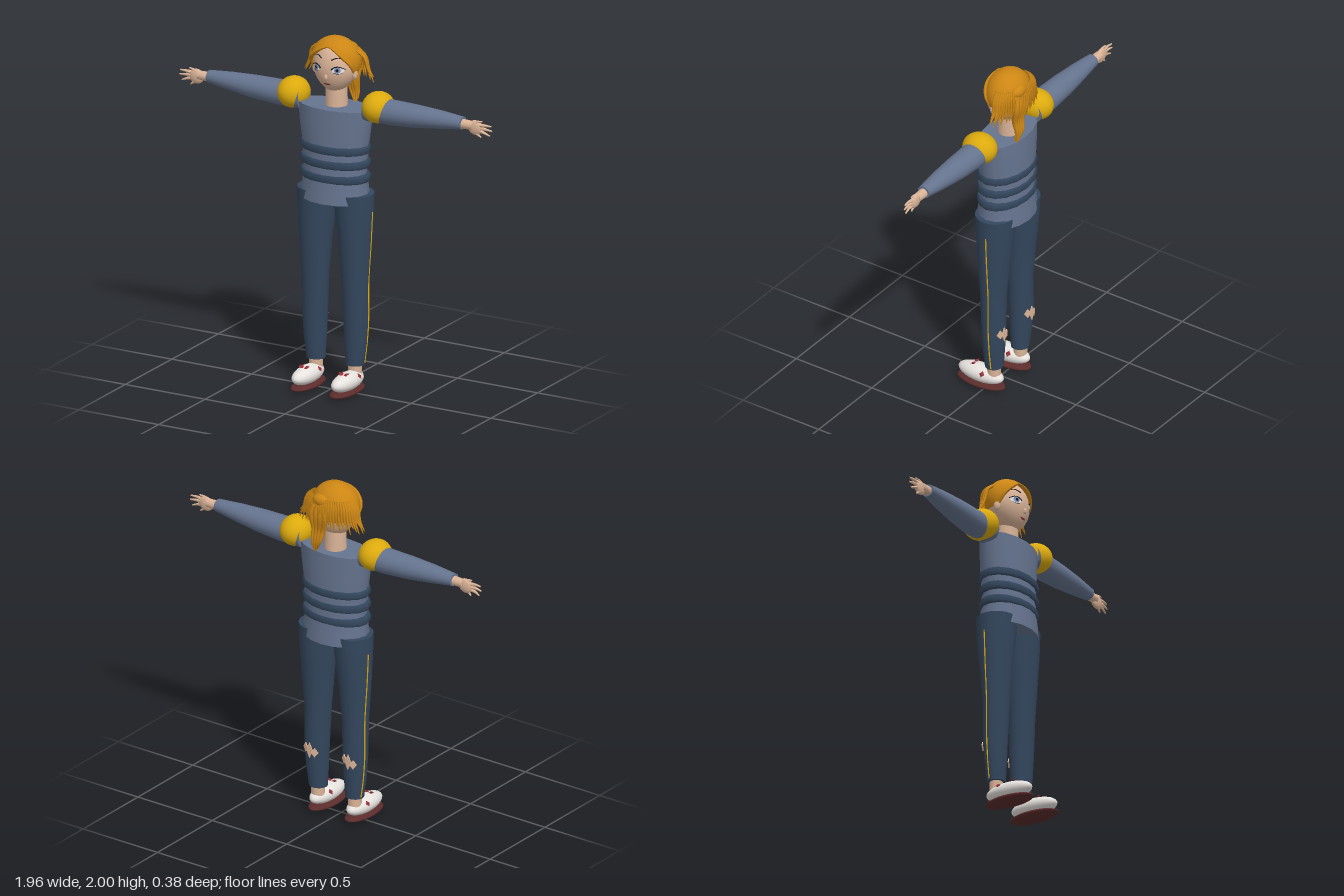
import * as THREE from 'three';

const mat = (name, color, side = THREE.FrontSide) => {
  const m = new THREE.MeshStandardMaterial({ color, side });
  m.name = name;
  return m;
};

// Stack of ellipses [y, rx, rz, cx, cz] from bottom to top, capped at both ends
function loft(sections, n = 24) {
  const pos = [], idx = [];
  const ring = ([y, rx, rz, cx = 0, cz = 0]) => {
    for (let j = 0; j < n; j++) {
      const a = (j / n) * Math.PI * 2;
      pos.push(cx + rx * Math.cos(a), y, cz + rz * Math.sin(a));
    }
  };
  sections.forEach(ring);
  for (let i = 0; i < sections.length - 1; i++) for (let j = 0; j < n; j++) {
    const a = i * n + j, b = i * n + (j + 1) % n;
    idx.push(a, a + n, b, b, a + n, b + n);
  }
  [sections[0], sections[sections.length - 1]].forEach((s, top) => {
    const base = pos.length / 3;
    ring(s);
    pos.push(s[3] || 0, s[0], s[4] || 0);
    for (let j = 0; j < n; j++) {
      const a = base + j, b = base + (j + 1) % n;
      top ? idx.push(base + n, b, a) : idx.push(base + n, a, b);
    }
  });
  const g = new THREE.BufferGeometry();
  g.setAttribute('position', new THREE.Float32BufferAttribute(pos, 3));
  g.setIndex(idx);
  g.computeVertexNormals();
  return g;
}

// Tube along points whose radius goes from r0 to r1 with an optional swelling
function strand(points, r0, r1, bulge = 0, segs = 10, sides = 7) {
  const curve = new THREE.CatmullRomCurve3(points.map(p => new THREE.Vector3(...p)));
  const g = new THREE.TubeGeometry(curve, segs, 1, sides);
  const p = g.attributes.position, v = new THREE.Vector3();
  for (let i = 0; i < p.count; i++) {
    const t = Math.floor(i / (sides + 1)) / segs;
    const c = curve.getPointAt(t);
    const r = r0 + (r1 - r0) * t + bulge * Math.sin(Math.PI * t);
    v.fromBufferAttribute(p, i).sub(c).multiplyScalar(r).add(c);
    p.setXYZ(i, v.x, v.y, v.z);
  }
  g.computeVertexNormals();
  return g;
}

const ball = (rx, ry, rz) => new THREE.SphereGeometry(1, 28, 20).scale(rx, ry, rz);

// Front surface of the face
const HEAD = { y: 1.835, z: -0.045, rx: 0.125, ry: 0.147, rz: 0.108 };
const faceZ = (x, y) => HEAD.z + HEAD.rz * Math.sqrt(Math.max(0, 1 - (x / HEAD.rx) ** 2 - ((y - HEAD.y) / HEAD.ry) ** 2));

function facePlate(x, y, rx, ry, lift) {
  const g = new THREE.CircleGeometry(1, 24).scale(rx, ry, 1).translate(x, y, 0);
  const p = g.attributes.position;
  for (let i = 0; i < p.count; i++) p.setZ(i, faceZ(p.getX(i), p.getY(i)) + lift);
  g.computeVertexNormals();
  return g;
}

export function createModel() {
  const root = new THREE.Group();
  const skin = mat('skin', 0xdbb498), hair = mat('hair', 0xcc8614, THREE.DoubleSide);
  const gold = mat('gold', 0xdcaa0e), shirt = mat('shirt blue', 0x66748f), navy = mat('navy', 0x34475e);
  const white = mat('white', 0xe6e2de), sole = mat('sole brown', 0x5c2c2c), red = mat('red', 0x96303a);
  const black = mat('black', 0x18181c), iris = mat('iris blue', 0x7f92bd);
  const add = (name, geo, material, x = 0, y = 0, z = 0) => {
    const m = new THREE.Mesh(geo, material);
    m.name = name;
    m.position.set(x, y, z);
    root.add(m);
    return m;
  };

  // Torso and the three bands around it
  add('torso', loft([
    [1.08, 0.2, 0.145, 0, -0.045], [1.13, 0.197, 0.142, 0, -0.045], [1.25, 0.183, 0.128, 0, -0.045],
    [1.4, 0.197, 0.127, 0, -0.047], [1.52, 0.216, 0.123, 0, -0.047], [1.61, 0.224, 0.117, 0, -0.047],
  ], 16), shirt);
  for (const y of [1.383, 1.302, 1.22]) add('band', loft([
    [y - 0.022, 0.2, 0.131], [y - 0.012, 0.208, 0.138], [y + 0.012, 0.208, 0.138], [y + 0.022, 0.2, 0.131],
  ], 16), navy, 0, 0, -0.044);

  // Neck and head with a narrowed jaw
  add('neck', new THREE.CylinderGeometry(0.06, 0.062, 0.17, 20), skin, 0, 1.665, -0.055);
  const head = ball(HEAD.rx, HEAD.ry, HEAD.rz), hp = head.attributes.position;
  for (let i = 0; i < hp.count; i++) {
    const t = Math.max(0, -hp.getY(i) / HEAD.ry);
    hp.setX(i, hp.getX(i) * (1 - 0.25 * t * t));
  }
  head.computeVertexNormals();
  add('head', head, skin, 0, HEAD.y, HEAD.z);
  add('nose', ball(0.01, 0.018, 0.012), skin, 0, 1.795, faceZ(0, 1.795));
  add('mouth', facePlate(0, 1.752, 0.021, 0.005, 0.003), red);

  // Hair cap with an arched opening over the face
  const cap = new THREE.SphereGeometry(1, 48, 20, 0, Math.PI * 2, 0, 3);
  const edgeY = phi => 1.955 - 0.15 * Math.min(1, Math.abs(phi) / 1.4) ** 1.8;
  const capPoint = (phi, t, k = 1) => {
    const th = t * Math.acos((edgeY(phi) - 1.865) / 0.135);
    return [0.142 * k * Math.sin(th) * Math.sin(phi), 1.865 + 0.135 * Math.cos(th), -0.05 + 0.118 * k * Math.sin(th) * Math.cos(phi)];
  };
  const cp = cap.attributes.position, uv = cap.attributes.uv;
  for (let i = 0; i < cp.count; i++) {
    const a = uv.getX(i) * Math.PI * 2;
    cp.setXYZ(i, ...capPoint(Math.atan2(-Math.cos(a), Math.sin(a)), 1 - uv.getY(i)));
  }
  cap.computeVertexNormals();
  add('hairCap', cap, hair);

  // Comb of strands round the back, flaring at the sides
  const N = 30;
  for (let i = 0; i <= N; i++) {
    const a = Math.PI * i / N, c = Math.cos(a), s = Math.sin(a), side = c * c;
    const low = 1.775 + 0.02 * Math.sin(i * 2.3);
    add('backStrand', strand([
      [c * 0.125, 1.93, -0.065 - s * 0.085], [c * (0.145 + 0.02 * side), 1.895, -0.075 - s * 0.09],
      [c * (0.148 + 0.035 * side), 1.83, -0.08 - s * 0.09], [c * (0.155 + 0.06 * side), low, -0.08 - s * 0.085],
    ], 0.009, 0.002, 0.004, 8, 5), hair);
  }

  // Ponytail of wavy locks with a knot at the top
  add('ponytailKnot', ball(0.055, 0.035, 0.032), hair, 0.03, 1.915, -0.142);
  for (let i = 0; i < 7; i++) {
    const k = (i - 3) / 3, d = 0.012 * (i % 2);
    add('ponytailLock', strand([
      [0.03 + k * 0.02, 1.92, -0.145], [0.035 + k * 0.045, 1.84, -0.165 + d], [0.045 + k * 0.03, 1.74, -0.15 + d],
      [0.05 + k * 0.025, 1.67, -0.165 + d], [0.065 + k * 0.012, 1.595 + 0.03 * Math.abs(k), -0.155 + d],
    ], 0.012, 0.003, 0.009, 14), hair);
  }

  for (const s of [1, -1]) {
    // Face details
    const ex = s * 0.066;
    add('eyeWhite', facePlate(ex, 1.84, 0.031, 0.019, 0.002), white);
    add('iris', facePlate(ex, 1.841, 0.016, 0.018, 0.004), iris);
    add('pupil', facePlate(ex, 1.841, 0.007, 0.009, 0.006), black);
    const line = (name, pts, r) => add(name, strand(pts.map(([x, y]) => [s * x, y, faceZ(x, y) + 0.002]), r, r * 0.5, 0, 8, 6), black);
    line('upperLash', [[0.033, 1.842], [0.05, 1.857], [0.075, 1.859], [0.1, 1.845]], 0.004);
    line('lowerLash', [[0.045, 1.826], [0.066, 1.82], [0.088, 1.826]], 0.0015);
    line('eyebrow', [[0.03, 1.895], [0.06, 1.907], [0.09, 1.898]], 0.0035);
    add('ear', ball(0.014, 0.03, 0.02), skin, s * 0.124, 1.805, -0.04);

    // Lock sweeping from the parting down beside the face
    add('frontLock', strand([0.02, 0.35, 0.7, 1.05, 1.4].map((p, i) => capPoint(s * p, 0.92 + i * 0.02)), 0.005, 0.004, 0.008, 14), hair);

    // Shoulder puff, sleeve and wrist
    add('shoulderPuff', ball(0.088, 0.087, 0.1), gold, s * 0.265, 1.638, -0.05);
    const sleeve = add('sleeve', loft([
      [0.2, 0.07, 0.076, s * 0.01], [0.35, 0.07, 0.076, s * 0.01], [0.5, 0.064, 0.069, s * 0.006],
      [0.65, 0.051, 0.056, 0], [0.795, 0.035, 0.038, s * -0.004],
    ]), shirt, 0, 1.632, -0.05);
    sleeve.rotation.z = -s * Math.PI / 2;
    const wrist = add('wrist', new THREE.CylinderGeometry(0.025, 0.027, 0.08, 16), skin, s * 0.82, 1.632, -0.05);
    wrist.rotation.z = -s * Math.PI / 2;

    // Hand with spread fingers
    add('palm', ball(0.046, 0.042, 0.018), skin, s * 0.873, 1.623, -0.05);
    for (const [x0, y0, x1, y1] of [
      [0.86, 1.648, 0.918, 1.664], [0.9, 1.64, 0.975, 1.644], [0.9, 1.625, 0.98, 1.618],
      [0.9, 1.61, 0.965, 1.588], [0.865, 1.6, 0.91, 1.572],
    ]) add('finger', strand([[s * x0, y0, -0.05], [s * (x0 + x1) / 2, (y0 + y1) / 2 + 0.002, -0.047], [s * x1, y1, -0.05]], 0.012, 0.004), skin);

    // Trouser leg with a thin side stripe
    const leg = [
      [0.15, 0.053, 0.05, 0.122, -0.045], [0.27, 0.064, 0.06, 0.127, -0.046], [0.4, 0.071, 0.067, 0.129, -0.047],
      [0.62, 0.076, 0.072, 0.125, -0.042], [0.85, 0.093, 0.091, 0.123, -0.045], [1.02, 0.107, 0.107, 0.117, -0.048],
      [1.13, 0.112, 0.112, 0.114, -0.048],
    ];
    add('trouserLeg', loft(leg.map(([y, rx, rz, cx, cz]) => [y, rx, rz, s * cx, cz])), navy);
    add('sideStripe', strand(leg.slice(0, 6).map(([y, rx, , cx]) => [s * (cx + rx - 0.001), y + 0.01, -0.058]), 0.004, 0.004, 0, 24, 6), gold);

    // Ragged tear on the calf, as three small plates
    for (const [a, h, y] of [[-0.42, 0.028, 0.37], [0, 0.046, 0.38], [0.42, 0.028, 0.39]]) {
      const d = new THREE.Shape([[0, -h], [0.021, 0], [0, h], [-0.021, 0]].map(q => new THREE.Vector2(...q)));
      const tear = add('tear', new THREE.ExtrudeGeometry(d, { depth: 0.006, bevelEnabled: false }), skin,
        s * 0.129 + Math.sin(a) * 0.069, y, -0.047 - Math.cos(a) * 0.066);
      tear.rotation.y = Math.PI - a;
    }

    // Ankle and shoe with red trims
    add('ankle', new THREE.CylinderGeometry(0.038, 0.038, 0.09, 18), skin, s * 0.123, 0.12, -0.045);
    add('shoeSole', ball(0.068, 0.022, 0.152), sole, s * 0.122, 0.022, 0.04);
    add('shoeUpper', ball(0.06, 0.05, 0.144), white, s * 0.124, 0.076, 0.04);
    for (const k of [-1, 1]) {
      const bow = add('bow', new THREE.OctahedronGeometry(1).scale(0.02, 0.007, 0.016), red, s * 0.124 + k * 0.016, 0.126, 0.082);
      bow.rotation.set(0.25, k * 0.6, k * 0.2);
      const trim = add('sideTrim', new THREE.OctahedronGeometry(1).scale(0.008, 0.018, 0.016), red, s * 0.124 + k * 0.052, 0.102, 0);
      trim.rotation.z = k * 0.7;
    }
  }
  return root;
}
